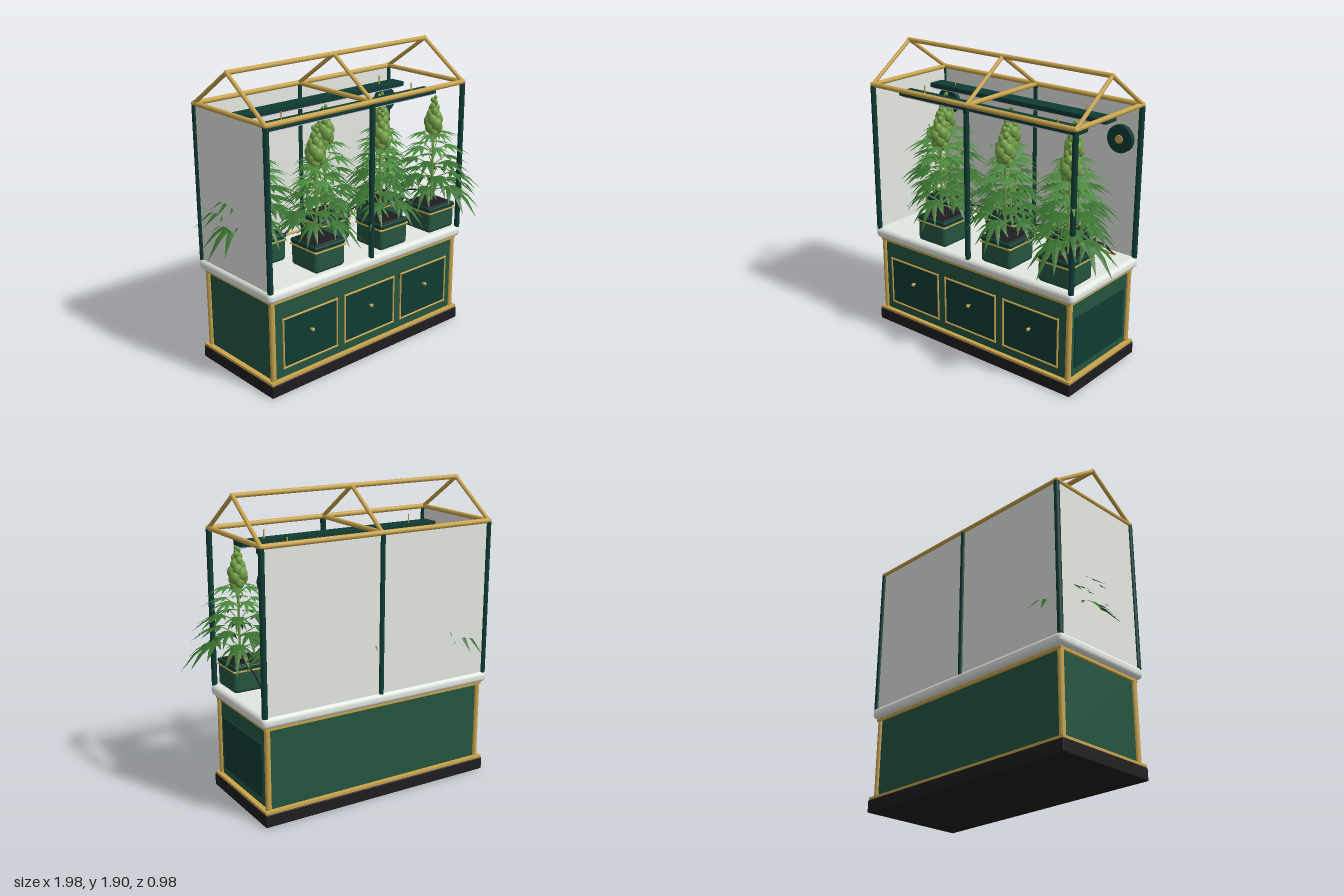
import * as THREE from 'three';
import { mergeGeometries } from 'three/addons/utils/BufferGeometryUtils.js';
import { RoundedBoxGeometry } from 'three/addons/geometries/RoundedBoxGeometry.js';

const V = (x, y, z) => new THREE.Vector3(x, y, z);

export function createModel() {
  const root = new THREE.Group();
  root.name = 'growCabinet';
  const paint = (name, color) => Object.assign(new THREE.MeshStandardMaterial({ color }), { name });
  const green = paint('cabinetGreen', 0x24543f);
  const dark = paint('darkGreen', 0x0f3b33);
  const gold = paint('brass', 0xc9a44c);
  const black = paint('black', 0x1f1d1f);
  const white = paint('white', 0xe4e8e2);
  const pink = paint('lampPink', 0xdcb8e4);
  const leafDark = paint('leafDark', 0x38702f);
  const leafLight = paint('leafLight', 0x4c8a3f);
  const budGreen = paint('bud', 0x739f45);
  leafDark.side = leafLight.side = THREE.DoubleSide;

  const add = (name, geo, mat, x = 0, y = 0, z = 0, parent = root) => {
    const m = new THREE.Mesh(geo, mat);
    m.name = name;
    m.position.set(x, y, z);
    parent.add(m);
    return m;
  };
  // Box given by its limits on each axis
  const box = (name, mat, x0, x1, y0, y1, z0, z1, r = 0) => {
    const s = [x1 - x0, y1 - y0, z1 - z0];
    const geo = r ? new RoundedBoxGeometry(...s, 4, r) : new THREE.BoxGeometry(...s);
    return add(name, geo, mat, (x0 + x1) / 2, (y0 + y1) / 2, (z0 + z1) / 2);
  };
  // Straight round bar between two points
  const rodGeo = (a, b, r, sides = 12) => {
    const d = b.clone().sub(a);
    const g = new THREE.CylinderGeometry(r, r, d.length(), sides);
    g.applyQuaternion(new THREE.Quaternion().setFromUnitVectors(V(0, 1, 0), d.normalize()));
    const c = a.clone().add(b).multiplyScalar(0.5);
    return g.translate(c.x, c.y, c.z);
  };
  const rod = (name, mat, a, b, r) => add(name, rodGeo(a, b, r), mat);

  // Cabinet
  const CX = -0.03, CZ = -0.06;
  box('plinth', black, -0.826, 0.767, 0, 0.078, -0.41, 0.29, 0.006);
  box('lowerTrim', gold, -0.822, 0.763, 0.078, 0.094, -0.405, 0.285);
  box('cabinetBody', green, -0.79, 0.731, 0.09, 0.6, -0.375, 0.258);
  box('upperTrim', gold, -0.805, 0.748, 0.588, 0.606, -0.39, 0.272);
  box('countertop', white, -0.835, 0.775, 0.605, 0.676, -0.415, 0.298, 0.03);
  for (const x of [-0.789, 0.73]) for (const z of [-0.371, 0.254])
    rod('cornerPost', gold, V(x, 0.09, z), V(x, 0.59, z), 0.018);
  box('sidePanel', dark, 0.73, 0.739, 0.145, 0.48, -0.315, 0.2);

  // Doors with brass frames and knobs
  for (const x of [-0.51, CX, 0.45]) {
    box('door', dark, x - 0.208, x + 0.208, 0.155, 0.472, 0.25, 0.266);
    for (const y of [0.156, 0.472])
      rod('doorFrame', gold, V(x - 0.213, y, 0.267), V(x + 0.213, y, 0.267), 0.006);
    for (const s of [-0.208, 0.208])
      rod('doorFrame', gold, V(x + s, 0.15, 0.267), V(x + s, 0.478, 0.267), 0.006);
    rod('knobStem', gold, V(x, 0.345, 0.26), V(x, 0.345, 0.285), 0.006);
    add('knob', new THREE.SphereGeometry(0.012, 12, 8), gold, x, 0.345, 0.285);
  }

  // Walls, posts and the brass roof frame
  box('backWall', white, -0.812, 0.752, 0.67, 1.64, -0.397, -0.387);
  box('sideWall', white, -0.817, -0.807, 0.67, 1.64, -0.39, 0.275);
  const xs = [-0.812, CX, 0.752], zs = [-0.393, 0.277], EAVE = 1.648, RIDGE = 1.88;
  for (const x of xs) {
    for (const z of zs) {
      rod('post', dark, V(x, 0.67, z), V(x, 1.64, z), 0.0175);
      rod('rafter', gold, V(x, EAVE, z), V(x, RIDGE, CZ), 0.0125);
      add('joint', new THREE.SphereGeometry(0.018, 12, 8), gold, x, EAVE, z);
    }
    rod('crossBeam', gold, V(x, EAVE, zs[0]), V(x, EAVE, zs[1]), 0.015);
    add('joint', new THREE.SphereGeometry(0.016, 12, 8), gold, x, RIDGE, CZ);
  }
  for (const z of zs) rod('eaveBeam', gold, V(xs[0], EAVE, z), V(xs[2], EAVE, z), 0.016);
  rod('ridgeBeam', gold, V(xs[0], RIDGE, CZ), V(xs[2], RIDGE, CZ), 0.015);

  // Hanging lamps
  for (const z of [0.082, -0.207]) {
    box('lampBar', dark, -0.725, 0.662, 1.562, 1.59, z - 0.054, z + 0.054);
    box('lampPanel', pink, -0.71, 0.647, 1.554, 1.562, z - 0.045, z + 0.045);
    for (const x of [-0.55, 0.49]) rod('lampHanger', gold, V(x, 1.585, z), V(x, 1.645, z), 0.004);
  }

  // Fans
  for (const x of [-0.717, 0.655]) {
    rod('fan', dark, V(x, 1.437, -0.342), V(x, 1.437, -0.31), 0.086).geometry =
      new THREE.CylinderGeometry(0.086, 0.086, 0.032, 28).rotateX(Math.PI / 2).translate(x, 1.437, -0.326);
    rod('fanHub', gold, V(x, 1.437, -0.33), V(x, 1.437, -0.302), 0.026);
    rod('fanMount', dark, V(x, 1.437, -0.39), V(x, 1.437, -0.34), 0.02);
  }

  // Watering pipe
  rod('waterPipe', gold, V(-0.75, 0.715, -0.275), V(0.69, 0.715, -0.275), 0.008);

  // Palmate leaf of unit length along +x, drooping with distance
  const leafShape = (() => {
    const pos = [], st = [[0, 0.015], [0.3, 0.1], [0.62, 0.075], [1, 0]];
    for (const [a, l] of [[0, 1], [0.45, 0.9], [-0.45, 0.9], [0.95, 0.7], [-0.95, 0.7], [1.6, 0.42], [-1.6, 0.42]]) {
      const pt = (i, s) => {
        const r = st[i][0] * l, w = st[i][1] * s * Math.sqrt(l);
        return [r * Math.cos(a) - w * Math.sin(a), -r * r - Math.abs(w) * 0.25, r * Math.sin(a) + w * Math.cos(a)];
      };
      for (let i = 0; i < 3; i++) {
        pos.push(pt(i, 0), pt(i, 1), pt(i + 1, 0), pt(i, 1), pt(i + 1, 1), pt(i + 1, 0));
        pos.push(pt(i, 0), pt(i + 1, 0), pt(i, -1), pt(i, -1), pt(i + 1, 0), pt(i + 1, -1));
      }
    }
    const g = new THREE.BufferGeometry();
    g.setAttribute('position', new THREE.Float32BufferAttribute(pos.flat(), 3));
    return g;
  })();

  // Bud cluster: overlapping nuggets in a spiral, widest low down
  const budCluster = (h, rad, n) => {
    const parts = [];
    for (let i = 0; i < n; i++) {
      const t = i / (n - 1), a = i * 2.4;
      const env = rad * (t < 0.3 ? 0.75 + t * 0.85 : 1.0 - (t - 0.3) * 1.0);
      const s = env * 0.62;
      parts.push(new THREE.SphereGeometry(s, 10, 7).scale(1, 1.25, 1)
        .translate(Math.cos(a) * env * 0.48, s + t * (h - 2.2 * s), Math.sin(a) * env * 0.48));
    }
    return mergeGeometries(parts);
  };

  // Leaf tiers: height, stalk length, leaf length, droop, rise of stalk, leaves
  const tiers = [
    [0.92, 0.13, 0.21, 0.75, 0.06, 5], [1.0, 0.12, 0.2, 0.55, 0.05, 5],
    [1.09, 0.1, 0.18, 0.45, 0.05, 5], [1.18, 0.085, 0.16, 0.4, 0.05, 5],
    [1.26, 0.06, 0.13, 0.4, 0.05, 5],
  ];
  // Pots and plants: x, z, spread, turn of the lowest leaves
  const plants = [
    [-0.585, -0.145, 1.18, 3.0], [-0.035, -0.145, 0.92, 1.75], [0.447, -0.145, 0.98, 0.25],
    [-0.36, 0.15, 0.9, 1.25], [0.163, 0.15, 0.92, 1.3], [0.634, 0.15, 1.08, 0.2],
  ];
  plants.forEach(([x, z, spread, turn], k) => {
    const px = [-0.565, -0.04, 0.447, -0.35, 0.178, 0.615][k];
    box('pot', green, px - 0.117, px + 0.117, 0.676, 0.845, z - 0.117, z + 0.117, 0.025);
    box('potRim', dark, px - 0.119, px + 0.119, 0.82, 0.848, z - 0.119, z + 0.119, 0.012);
    box('potBand', gold, px - 0.12, px + 0.12, 0.806, 0.818, z - 0.12, z + 0.12, 0.005);
    box('soil', black, px - 0.1, px + 0.1, 0.83, 0.854, z - 0.1, z + 0.1, 0.01);
    const drip = new THREE.CatmullRomCurve3([V(px + 0.06, 0.715, -0.275),
      V(px + 0.06, 0.84, -0.12), V(px + 0.05, 0.875, z - 0.08), V(px + 0.03, 0.85, z - 0.03)]);
    add('dripTube', new THREE.TubeGeometry(drip, 16, 0.005, 6), black);

    const plant = new THREE.Group();
    plant.name = 'plant';
    plant.position.set(x, 0, z);
    root.add(plant);
    const stems = [rodGeo(V(0, 0.84, 0), V(0, 1.34, 0), 0.008, 8)];
    const lower = [], upper = [];
    tiers.forEach(([y, stalk, len, droop, rise, n], i) => {
      for (let j = 0; j < n; j++) {
        const a = turn + (j / n) * Math.PI * 2 + i * 0.63;
        const vary = j === 0 && i === 0 ? 1 : 0.86 + 0.12 * Math.sin(j * 2.7 + i * 1.9 + k);
        const p = stalk * spread * vary, L = len * spread * vary;
        const tip = V(Math.cos(a) * p, y + rise, Math.sin(a) * p);
        stems.push(rodGeo(V(0, y, 0), tip, 0.0035, 5));
        (i < 3 ? lower : upper).push(leafShape.clone().scale(L, L * droop, L)
          .rotateY(-a).translate(tip.x, tip.y, tip.z));
      }
    });
    // One side shoot on the outermost plant
    if (k === 0) {
      stems.push(rodGeo(V(0, 1.02, 0), V(-0.19, 1.2, -0.045), 0.005, 6));
      add('sideBud', budCluster(0.12, 0.03, 10), budGreen, -0.19, 1.17, -0.045, plant);
    }
    add('stems', mergeGeometries(stems), budGreen, 0, 0, 0, plant);
    for (const [name, list, mat] of [['lowerLeaves', lower, leafDark], ['upperLeaves', upper, leafLight]]) {
      const g = mergeGeometries(list);
      g.computeVertexNormals();
      add(name, g, mat, 0, 0, 0, plant);
    }
    add('topBud', budCluster(0.27, 0.062, 22), budGreen, 0, 1.285, 0, plant);
  });
  return root;
}
